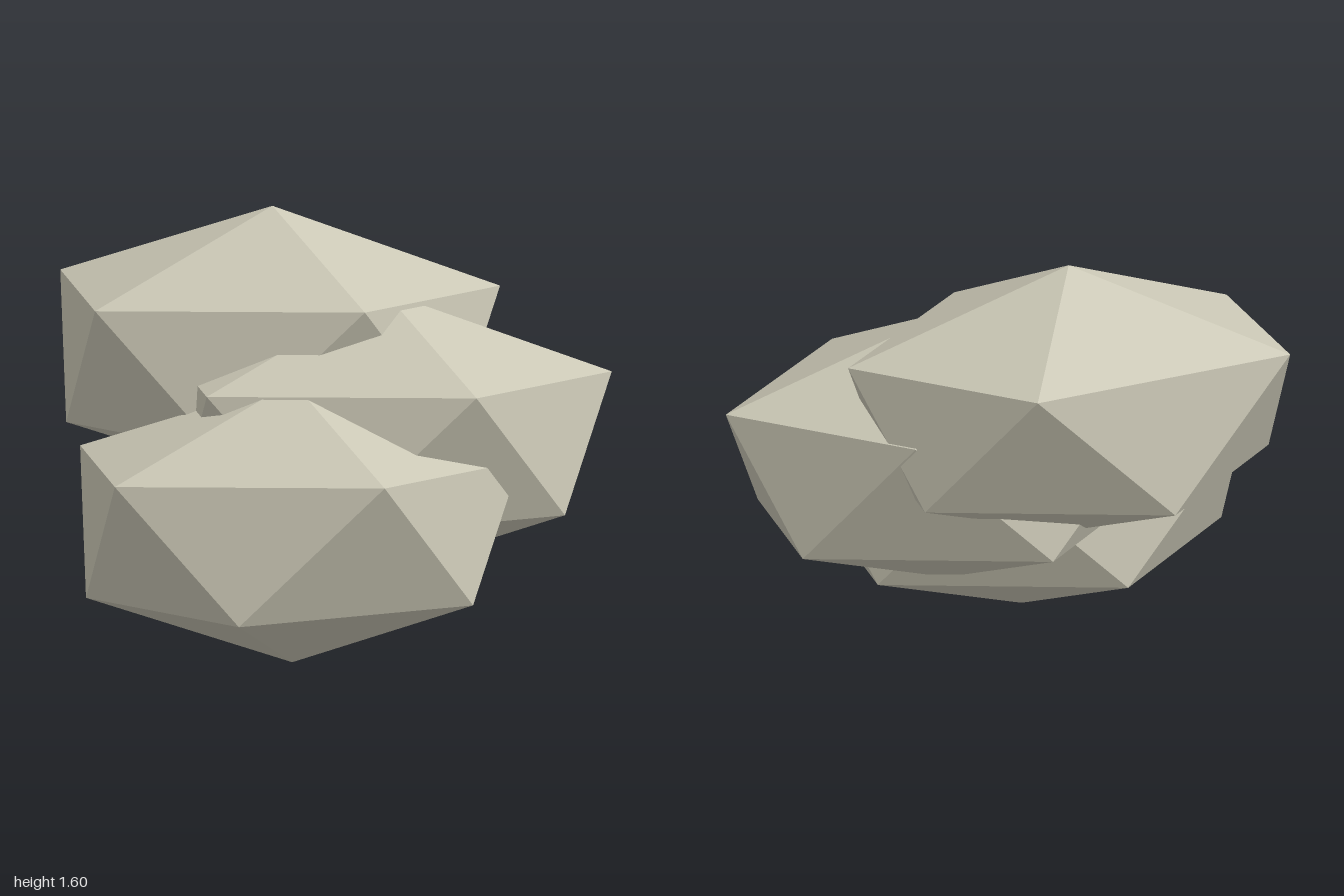
import * as THREE from 'three';

// Lopsided twenty-sided boulder: two poles and two staggered rings of five
function boulderGeometry() {
  const top = [0, 1.06, 0], bottom = [0, 0, 0];
  const upper = [[0.85, 0.74, 0], [0.28, 0.76, 0.575], [-0.70, 0.74, 0.33], [-0.75, 0.765, -0.37], [0.28, 0.76, -0.575]];
  const lower = [[0.64, 0.26, 0.31], [-0.26, 0.24, 0.535], [-0.77, 0.26, 0], [-0.26, 0.24, -0.54], [0.64, 0.26, -0.31]];
  const positions = [];
  const face = (...corners) => corners.forEach((c) => positions.push(...c));
  for (let i = 0; i < 5; i++) {
    const j = (i + 1) % 5;
    face(top, upper[j], upper[i]);
    face(upper[i], upper[j], lower[i]);
    face(lower[i], upper[j], lower[j]);
    face(bottom, lower[i], lower[j]);
  }
  const geometry = new THREE.BufferGeometry();
  geometry.setAttribute('position', new THREE.Float32BufferAttribute(positions, 3));
  geometry.computeVertexNormals();
  return geometry;
}

export function createModel() {
  const group = new THREE.Group();
  group.name = 'rockCluster';
  const stone = new THREE.MeshStandardMaterial({ color: 0xcac7b5, flatShading: true });
  stone.name = 'paleStone';
  const geometry = boulderGeometry();

  // Three identical boulders climbing from front to back
  const boulders = [
    ['frontBoulder', -0.23, 0, 0.325],
    ['middleBoulder', 0.15, 0.27, 0],
    ['backBoulder', -0.23, 0.54, -0.325],
  ];
  for (const [name, x, y, z] of boulders) {
    const boulder = new THREE.Mesh(geometry, stone);
    boulder.name = name;
    boulder.position.set(x, y, z);
    group.add(boulder);
  }
  return group;
}
